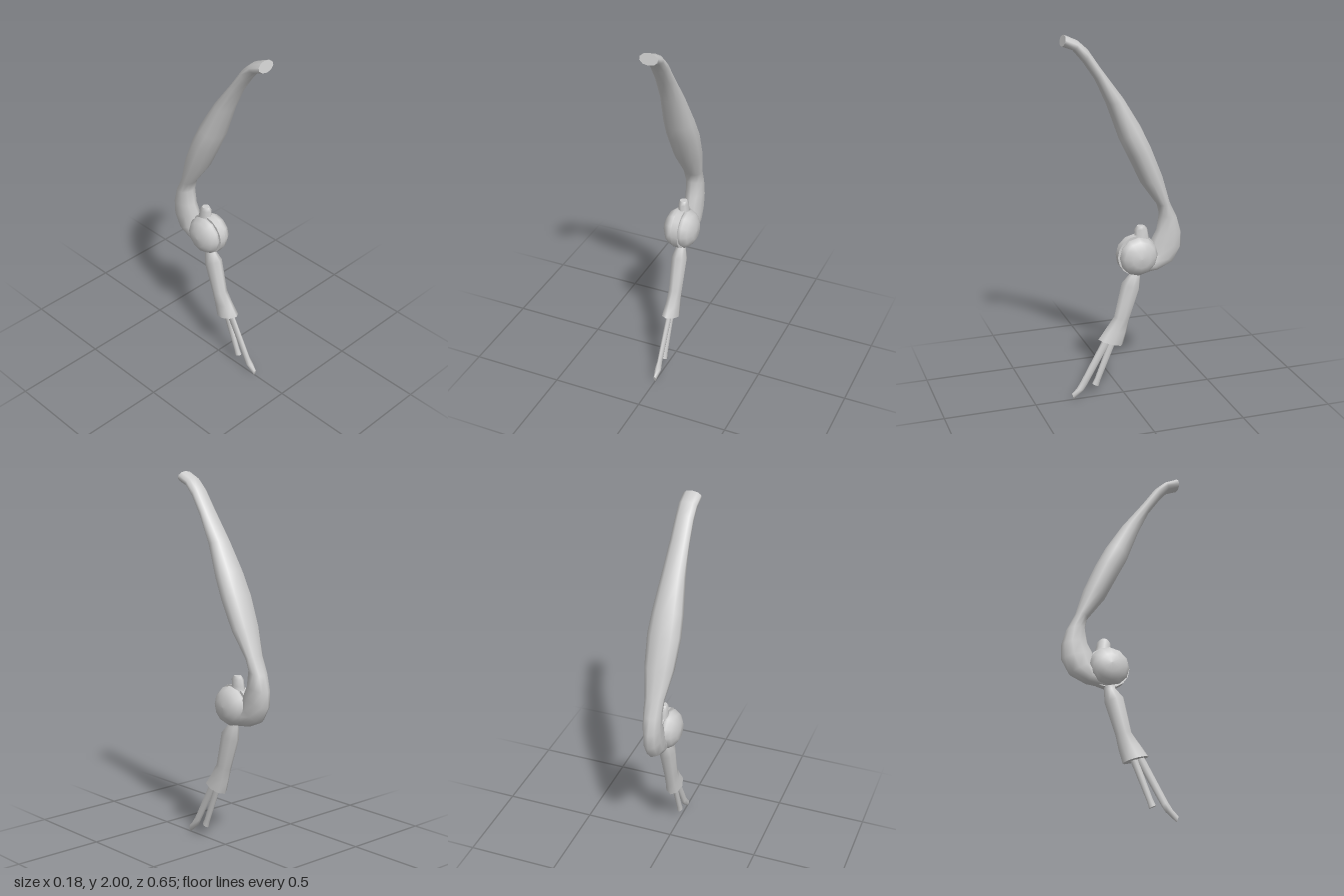
import * as THREE from 'three';

const material = new THREE.MeshStandardMaterial({ color: 0xcccccc, side: THREE.DoubleSide });

// Closed loft: each section is [frontZ, frontY, backZ, backY, halfWidth], listed from top to bottom.
function loft(name, sections, sides) {
  const pos = [], index = [];
  const addRing = ([fz, fy, bz, by, w]) => {
    const start = pos.length / 3;
    for (let k = 0; k < sides; k++) {
      const a = (k / sides) * Math.PI * 2, c = Math.cos(a) / 2;
      pos.push(w * Math.sin(a), (fy + by) / 2 + (fy - by) * c, (fz + bz) / 2 + (fz - bz) * c);
    }
    return start;
  };
  const rings = sections.map(addRing);
  for (let i = 0; i + 1 < rings.length; i++) {
    for (let k = 0; k < sides; k++) {
      const n = (k + 1) % sides, p = rings[i], q = rings[i + 1];
      index.push(p + k, q + k, p + n, p + n, q + k, q + n);
    }
  }
  // Caps have their own vertices so their rims stay sharp
  const top = addRing(sections[0]), bottom = addRing(sections[sections.length - 1]);
  for (let k = 1; k + 1 < sides; k++) {
    index.push(top, top + k, top + k + 1, bottom, bottom + k + 1, bottom + k);
  }
  const g = new THREE.BufferGeometry();
  g.setAttribute('position', new THREE.Float32BufferAttribute(pos, 3));
  g.setIndex(index);
  g.computeVertexNormals();
  const mesh = new THREE.Mesh(g, material);
  mesh.name = name;
  return mesh;
}

export function createModel() {
  const model = new THREE.Group();
  model.name = 'model';

  // Long swelling arm that hooks under the hub
  model.add(loft('arm', [
    [0.328, 1.942, 0.312, 2.0, 0.05],
    [0.27, 1.92, 0.243, 1.968, 0.05],
    [0.217, 1.857, 0.19, 1.92, 0.05],
    [0.153, 1.762, 0.122, 1.82, 0.053],
    [0.095, 1.635, 0.0, 1.655, 0.064],
    [0.026, 1.445, -0.09, 1.508, 0.083],
    [-0.021, 1.35, -0.148, 1.39, 0.09],
    [-0.095, 1.196, -0.212, 1.233, 0.08],
    [-0.19, 1.064, -0.254, 1.085, 0.054],
    [-0.2, 1.01, -0.3, 0.99, 0.05],
    [-0.185, 0.926, -0.325, 0.905, 0.05],
    [-0.155, 0.873, -0.325, 0.82, 0.05],
    [-0.15, 0.82, -0.28, 0.74, 0.05],
    [-0.13, 0.78, -0.19, 0.7, 0.045],
    [-0.08, 0.78, -0.08, 0.685, 0.035],
  ], 10));

  // Round hub: a dome on each side of a narrow rim
  const hub = new THREE.Group();
  hub.name = 'hub';
  hub.position.set(0, 0.797, -0.075);
  const dome = new THREE.LatheGeometry(
    [[0.098, 0.012], [0.107, 0.036], [0.088, 0.064], [0.05, 0.086], [0, 0.09]]
      .map(([r, x]) => new THREE.Vector2(r, x)), 12);
  for (const s of [1, -1]) {
    const m = new THREE.Mesh(dome, material);
    m.name = s > 0 ? 'leftDome' : 'rightDome';
    m.rotation.z = -s * Math.PI / 2;
    hub.add(m);
  }
  const rim = new THREE.Mesh(new THREE.CylinderGeometry(0.112, 0.112, 0.036, 16), material);
  rim.name = 'hubRim';
  rim.rotation.z = Math.PI / 2;
  hub.add(rim);
  model.add(hub);

  // Small knob on top of the hub
  model.add(loft('knob', [
    [-0.075, 0.958, -0.117, 0.958, 0.02],
    [-0.06, 0.94, -0.133, 0.94, 0.027],
    [-0.062, 0.91, -0.14, 0.905, 0.027],
    [-0.04, 0.86, -0.15, 0.86, 0.036],
  ], 8));

  // Socket hanging below the hub
  model.add(loft('socket', [
    [-0.04, 0.71, -0.095, 0.7, 0.025],
    [-0.03, 0.685, -0.095, 0.672, 0.026],
    [0.01, 0.645, -0.09, 0.6, 0.043],
    [0.053, 0.455, -0.032, 0.43, 0.037],
    [0.1, 0.392, -0.017, 0.36, 0.037],
    [0.143, 0.333, 0.005, 0.286, 0.045],
  ], 8));

  // Two prongs held in the socket
  model.add(loft('frontProng', [
    [0.11, 0.345, 0.068, 0.322, 0.013],
    [0.244, 0.1, 0.207, 0.08, 0.013],
    [0.268, 0.062, 0.228, 0.05, 0.018],
    [0.296, 0.034, 0.286, 0.0, 0.008],
  ], 8));
  model.add(loft('backProng', [
    [0.078, 0.335, 0.04, 0.317, 0.013],
    [0.163, 0.112, 0.132, 0.095, 0.013],
    [0.18, 0.078, 0.143, 0.06, 0.015],
  ], 8));

  return model;
}
